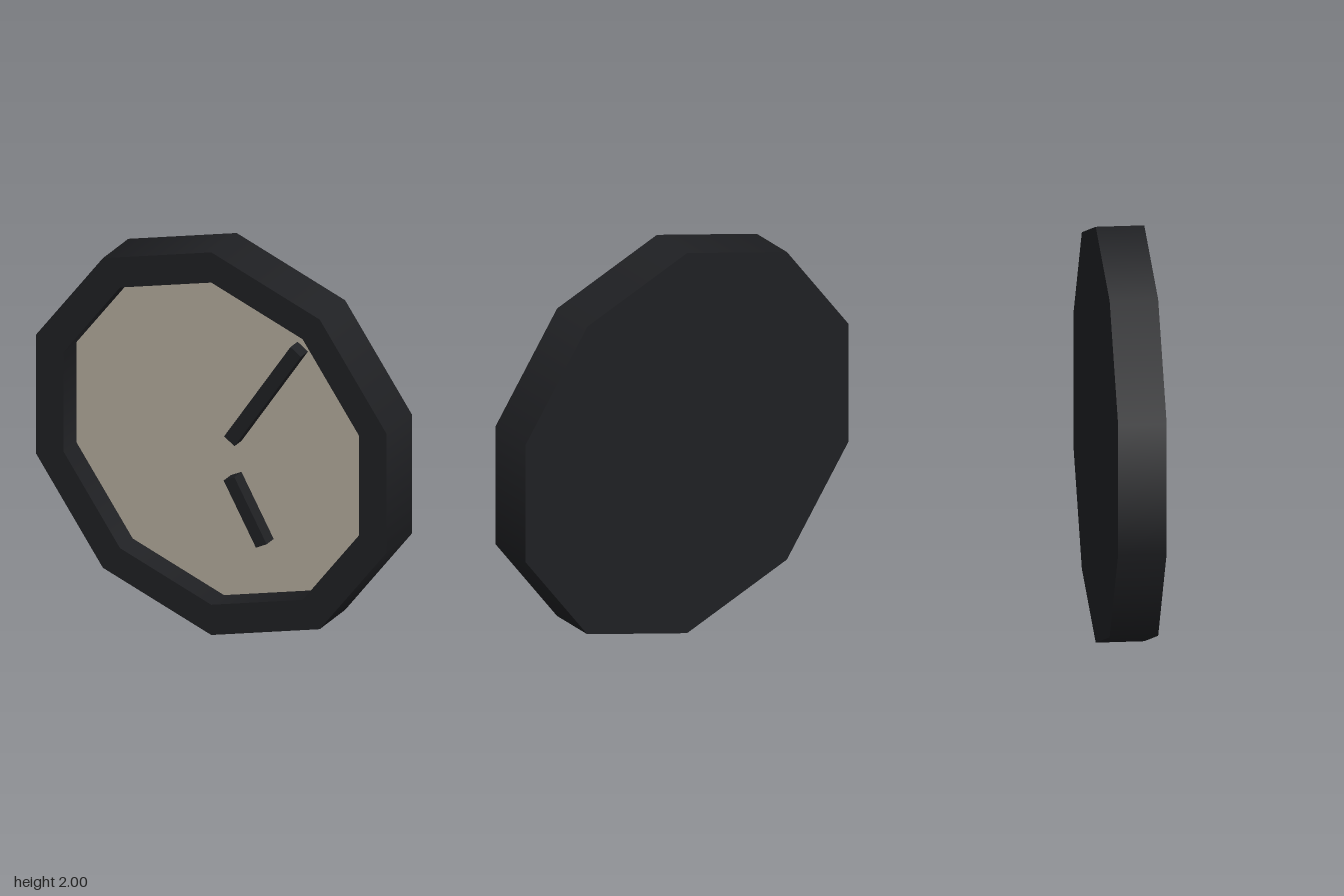
import * as THREE from 'three';
import { mergeGeometries } from 'three/addons/utils/BufferGeometryUtils.js';

const SIDES = 10;
const HALF_DEPTH = 0.113;
const INNER = 0.842;

// Revolve a profile of [radius, z] points about z; each segment keeps its own crease
function turned(profile) {
  const bands = [];
  for (let i = 0; i < profile.length - 1; i++) {
    const pts = [profile[i], profile[i + 1]].map(([r, z]) => new THREE.Vector2(r, z));
    bands.push(new THREE.LatheGeometry(pts, SIDES));
  }
  return mergeGeometries(bands).rotateX(Math.PI / 2);
}

export function createModel() {
  const clock = new THREE.Group();
  clock.name = 'wallClock';
  const dark = new THREE.MeshStandardMaterial({ color: 0x1f2023 });
  const cream = new THREE.MeshStandardMaterial({ color: 0xb3ab9c });

  function add(name, geometry, material, x, y, z) {
    const mesh = new THREE.Mesh(geometry, material);
    mesh.name = name;
    mesh.position.set(x, y, z);
    clock.add(mesh);
    return mesh;
  }

  // Ten-sided case: closed back, outer wall, front rim and recess wall
  add('case', turned([
    [0, -HALF_DEPTH], [1, -HALF_DEPTH], [1, HALF_DEPTH], [INNER, HALF_DEPTH], [INNER, 0],
  ]), dark, 0, 1, 0);

  // Recessed dial
  add('dial', turned([[INNER, 0], [0, 0]]), cream, 0, 1, 0);

  // Hands standing on the dial
  const hands = [
    ['minuteHand', 0.67, 0.247, 1.291, 57.5],
    ['hourHand', 0.35, 0.153, 0.66, -60],
  ];
  for (const [name, length, x, y, degrees] of hands) {
    const hand = add(name, new THREE.BoxGeometry(length, 0.067, 0.063), dark, x, y, 0.0315);
    hand.rotation.z = THREE.MathUtils.degToRad(degrees);
  }
  return clock;
}
